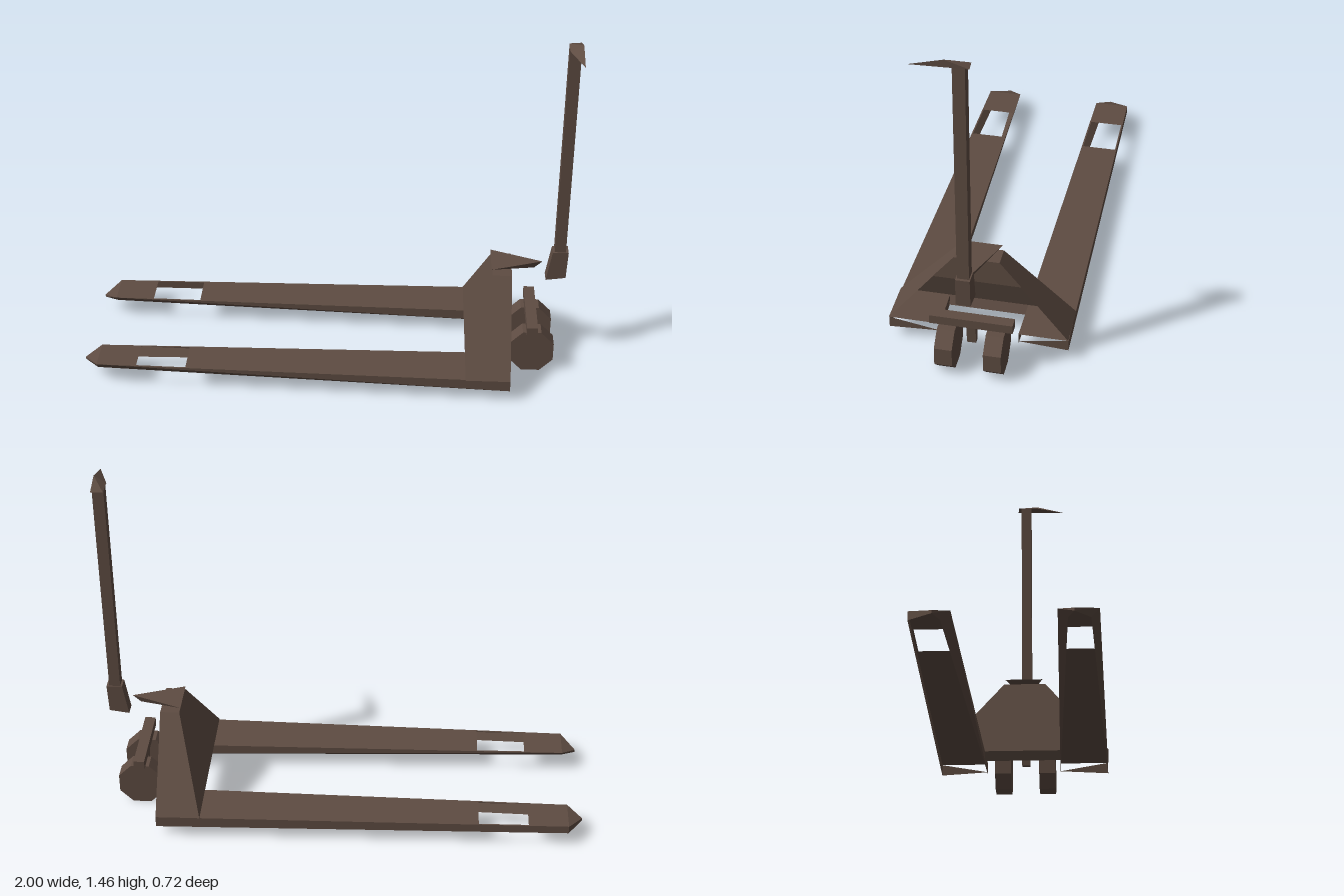
import * as THREE from 'three';

const steel = new THREE.MeshStandardMaterial({ color: 0x5e4c42, side: THREE.DoubleSide });
steel.name = 'brownSteel';
steel.flatShading = true;

// Flat panels: each panel is a fan of 3 or more [x, y, z] corners
function panels(name, list) {
  const pos = [];
  for (const p of list) {
    for (let i = 1; i < p.length - 1; i++) pos.push(...p[0], ...p[i], ...p[i + 1]);
  }
  const g = new THREE.BufferGeometry();
  g.setAttribute('position', new THREE.Float32BufferAttribute(pos, 3));
  g.computeVertexNormals();
  return named(name, g);
}

function named(name, geometry, x = 0, y = 0, z = 0) {
  const m = new THREE.Mesh(geometry, steel);
  m.name = name;
  m.position.set(x, y, z);
  return m;
}

// Side profile in x/y extruded across z
function slab(name, pts, z0, z1) {
  const shape = new THREE.Shape(pts.map(([x, y]) => new THREE.Vector2(x, y)));
  const g = new THREE.ExtrudeGeometry(shape, { depth: z1 - z0, bevelEnabled: false });
  return named(name, g, 0, 0, z0);
}

// Tapering open-bottomed fork; s = side (+1 front, -1 back)
function fork(name, s, inner, outer, outerLean) {
  const t = x => (x + 0.94) / 1.7;
  const mix = (a, b, x) => a + (b - a) * t(x);
  const zi = x => s * mix(inner[0], inner[1], x);
  const zo = x => s * mix(outer[0], outer[1], x);
  const low = x => mix(0.066, 0.053, x);
  const li = x => zi(x) + s * 0.035 * (1 - t(x));
  const lo = x => zo(x) - s * outerLean * (1 - t(x));
  const Y = 0.1, list = [];
  const strip = (a, b, f, g) => list.push([[a, Y, f(a)], [b, Y, f(b)], [b, Y, g(b)], [a, Y, g(a)]]);
  // Top plate with the roller opening
  strip(-0.94, -0.775, zi, zo);
  strip(-0.775, -0.57, zi, x => zi(x) + s * 0.006);
  strip(-0.775, -0.57, x => zo(x) - s * 0.006, zo);
  strip(-0.57, 0.765, zi, zo);
  // Side flanges
  const a = -0.94, b = 0.765;
  list.push([[a, Y, zi(a)], [b, Y, zi(b)], [b, low(b), li(b)], [a, low(a), li(a)]]);
  list.push([[a, Y, zo(a)], [b, Y, zo(b)], [b, low(b), lo(b)], [a, low(a), lo(a)]]);
  // Sloped pointed nose
  const zc = s * (inner[0] * 0.6 + outer[0] * 0.4);
  const tip = [-1, 0.077, zc], tipLow = [-1, 0.066, zc];
  list.push([[a, Y, zi(a)], [a, Y, zo(a)], tip]);
  list.push([[a, Y, zi(a)], tip, tipLow, [a, low(a), li(a)]]);
  list.push([[a, Y, zo(a)], tip, tipLow, [a, low(a), lo(a)]]);
  // Heel gusset
  list.push([[b, Y, zo(b)], [b, low(b), zo(b)], [b, 0.065, zi(b)]]);
  return panels(name, list);
}

export function createModel() {
  const model = new THREE.Group();
  model.name = 'palletJack';

  model.add(fork('frontFork', 1, [0.18, 0.152], [0.325, 0.358], 0.03));
  model.add(fork('backFork', -1, [0.188, 0.163], [0.335, 0.362], 0));

  // Tapered pump housing, open towards the wheels
  const shell = [
    [[0.583, 0.1, -0.36], [0.583, 0.1, 0.36], [0.685, 0.44, 0.09], [0.685, 0.44, -0.09]],
    [[0.685, 0.44, 0.09], [0.765, 0.44, 0.09], [0.765, 0.44, -0.09], [0.685, 0.44, -0.09]],
    [[0.765, 0.335, -0.175], [0.765, 0.335, 0.175], [0.765, 0.44, 0.09], [0.765, 0.44, -0.09]],
    [[0.583, 0.1, -0.165], [0.583, 0.1, 0.155], [0.6, 0.062, 0.155], [0.6, 0.062, -0.165]],
  ];
  for (const s of [-1, 1]) {
    shell.push([[0.583, 0.1, s * 0.36], [0.765, 0.1, s * 0.36], [0.765, 0.44, s * 0.09], [0.685, 0.44, s * 0.09]]);
  }
  model.add(panels('housing', shell));

  // Pointed cap plate
  const c = [[0.68, 0.46, -0.085], [0.68, 0.46, 0.078], [0.893, 0.46, 0], [0.86, 0.43, 0]];
  model.add(panels('capPlate', [
    [c[0], c[1], c[2]], [c[0], c[1], c[3]], [c[1], c[2], c[3]], [c[2], c[0], c[3]],
  ]));

  // Steering wheels, crossbar and short post
  for (const [name, z] of [['frontWheel', 0.094], ['backWheel', -0.098]]) {
    const g = new THREE.CylinderGeometry(0.1, 0.1, 0.07, 8);
    g.rotateY(Math.PI / 8).rotateX(Math.PI / 2);
    model.add(named(name, g, 0.86, 0.097, z));
  }
  model.add(named('crossbar', new THREE.BoxGeometry(0.045, 0.037, 0.328), 0.857, 0.216, 0));
  model.add(slab('post', [[0.845, 0.12], [0.87, 0.12], [0.875, 0.2], [0.84, 0.2]], -0.018, 0.018));

  // Tiller with pivot block and hooked grip
  model.add(slab('tillerPivot', [[0.908, 0.388], [0.99, 0.4], [0.995, 0.52], [0.93, 0.52]], -0.028, 0.028));
  model.add(named('tillerBar', new THREE.BoxGeometry(0.046, 0.93, 0.046), 0.961, 0.965, 0));
  const A = [0.985, 1.425, 0.18], B = [0.987, 1.46, 0.05], C = [0.987, 1.432, -0.04];
  const D = [0.938, 1.43, -0.035], E = [0.938, 1.43, 0.045];
  model.add(panels('grip', [[A, B, C], [B, C, D], [B, D, E], [A, B, E], [A, E, D, C]]));

  return model;
}
